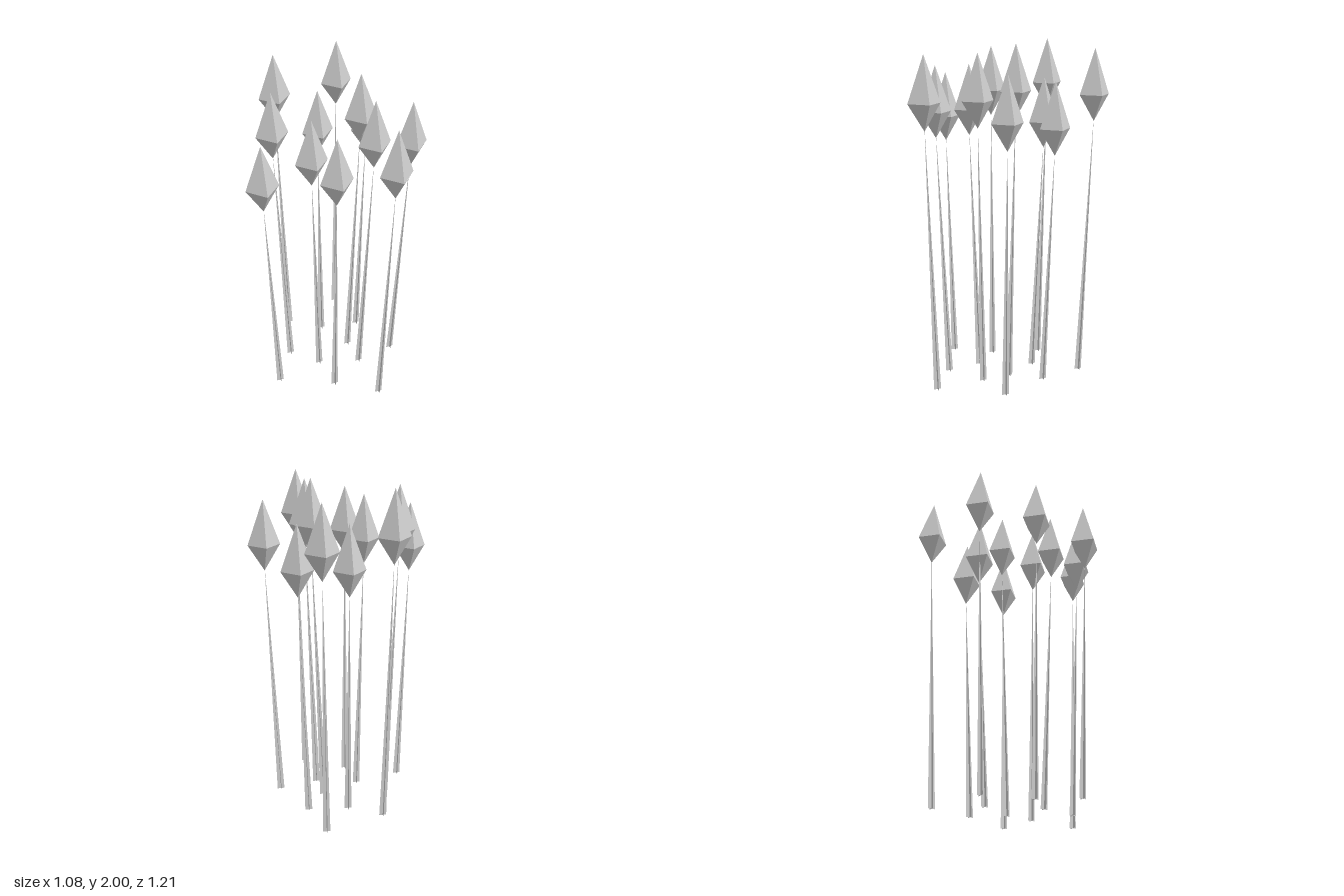
import * as THREE from 'three';

// Each stalk: head x, head z, height of the head's tip
const STALKS = [
  [0.235, -0.51, 1.965], [-0.185, -0.408, 2.0], [0.033, -0.285, 1.793],
  [0.313, -0.222, 1.793], [-0.306, -0.088, 1.955], [0.196, -0.03, 2.0],
  [-0.15, 0.117, 1.865], [-0.446, 0.158, 1.793], [0.443, 0.127, 1.86],
  [0.187, 0.197, 1.955], [-0.09, 0.348, 1.87], [0.18, 0.507, 1.955],
];
const HEAD_RADIUS = 0.095, HEAD_BELOW = 0.155, HEAD_ABOVE = 0.265;
const LEAN = 0.062, STEM_HALF = 0.022;

// Two crossed, upright triangles that taper from the foot to the head
function stemGeometry(foot, top) {
  const points = [];
  for (const [dx, dz] of [[STEM_HALF, 0], [0, -STEM_HALF]]) {
    points.push(
      new THREE.Vector3(foot.x - dx, 0, foot.z - dz),
      new THREE.Vector3(foot.x + dx, 0, foot.z + dz),
      top,
    );
  }
  const geometry = new THREE.BufferGeometry().setFromPoints(points);
  geometry.computeVertexNormals();
  return geometry;
}

export function createModel() {
  const model = new THREE.Group();
  model.name = 'stalkCluster';

  const grey = new THREE.MeshStandardMaterial({
    color: 0xcccccc, flatShading: true, side: THREE.DoubleSide,
  });
  grey.name = 'light grey';

  // Four-sided pointed bud, widest at its origin
  const headGeometry = new THREE.LatheGeometry([
    new THREE.Vector2(0, -HEAD_BELOW),
    new THREE.Vector2(HEAD_RADIUS, 0),
    new THREE.Vector2(0, HEAD_ABOVE),
  ], 4);

  for (const [x, z, tip] of STALKS) {
    const stalk = new THREE.Group();
    stalk.name = 'stalk';

    const head = new THREE.Mesh(headGeometry, grey);
    head.name = 'head';
    head.position.set(x, tip - HEAD_ABOVE, z);

    // Stems lean outward from the middle of the cluster
    const inward = 1 - LEAN / Math.hypot(x, z);
    const foot = new THREE.Vector3(x * inward, 0, z * inward);
    const top = new THREE.Vector3(x, tip - HEAD_ABOVE - HEAD_BELOW + 0.03, z);
    const stem = new THREE.Mesh(stemGeometry(foot, top), grey);
    stem.name = 'stem';

    stalk.add(stem, head);
    model.add(stalk);
  }
  return model;
}
